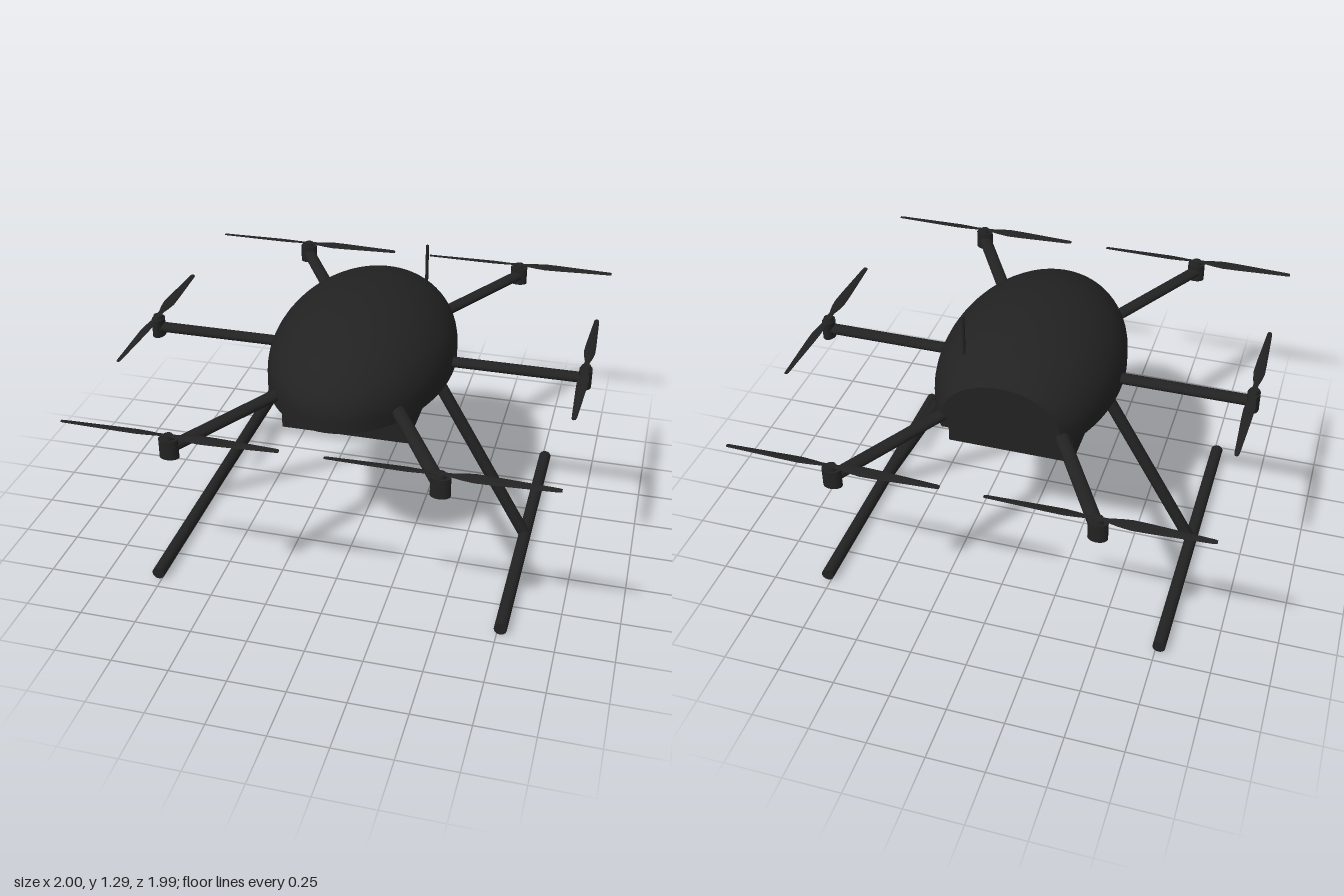
import * as THREE from 'three';
import { toCreasedNormals } from 'three/addons/utils/BufferGeometryUtils.js';

const material = new THREE.MeshStandardMaterial({ color: 0x222222 });

function add(parent, name, geometry, x = 0, y = 0, z = 0) {
  const mesh = new THREE.Mesh(geometry, material);
  mesh.name = name;
  mesh.position.set(x, y, z);
  parent.add(mesh);
  return mesh;
}

// Skin counter-clockwise [x, y] rings running from +z to -z, closed by a cap at each end
function loft(rings, crease) {
  const n = rings[0].length;
  const pos = rings.flat(2);
  const index = [];
  for (let i = 0; i < rings.length - 1; i++) {
    for (let j = 0; j < n; j++) {
      const k = (j + 1) % n;
      const a = i * n + j, b = i * n + k, c = a + n, d = b + n;
      index.push(a, c, b, b, c, d);
    }
  }
  const last = (rings.length - 1) * n;
  for (let j = 1; j < n - 1; j++) {
    index.push(0, j, j + 1, last, last + j + 1, last + j);
  }
  const geo = new THREE.BufferGeometry();
  geo.setAttribute('position', new THREE.Float32BufferAttribute(pos, 3));
  geo.setIndex(index);
  return toCreasedNormals(geo, crease);
}

// Half-ellipsoid shell with a short straight skirt, cut flat at the back
function shellGeometry() {
  const rings = [];
  const end = Math.acos(-0.48 / 0.63);
  for (let i = 0; i <= 40; i++) {
    const t = 0.02 + (end - 0.02) * i / 40;
    const z = 0.63 * Math.cos(t), s = Math.sin(t);
    const ring = [];
    for (let j = 0; j <= 32; j++) {
      const a = Math.PI * j / 32;
      ring.push([0.4 * s * Math.cos(a), 0.89 + 0.3 * s * Math.sin(a), z]);
    }
    ring.push([-0.4 * s, 0.836, z], [0.4 * s, 0.836, z]);
    rings.push(ring);
  }
  return loft(rings, 0.7);
}

// Two-bladed propeller along z, each blade pitched the opposite way
function propellerGeometry() {
  const half = [[0.45, 0.008], [0.44, 0.011], [0.3, 0.018], [0.2, 0.023],
    [0.13, 0.025], [0.08, 0.019], [0.04, 0.011]];
  const stations = [...half, [0, 0.013], ...half.map(([z, w]) => [-z, w]).reverse()];
  const rings = stations.map(([z, w]) => {
    const pitch = 0.2 * Math.sign(z);
    const ring = [];
    for (let j = 0; j < 10; j++) {
      const a = Math.PI * 2 * j / 10;
      const x = w * Math.cos(a), y = 0.004 * Math.sin(a);
      ring.push([x * Math.cos(pitch) - y * Math.sin(pitch), x * Math.sin(pitch) + y * Math.cos(pitch), z]);
    }
    return ring;
  });
  return loft(rings, 0.9);
}

// Round tube between two points
function rod(parent, name, from, to, radius) {
  const a = new THREE.Vector3(...from), b = new THREE.Vector3(...to);
  const dir = b.clone().sub(a);
  const mesh = add(parent, name, new THREE.CylinderGeometry(radius, radius, dir.length(), 24));
  mesh.position.copy(a).add(b).multiplyScalar(0.5);
  mesh.quaternion.setFromUnitVectors(new THREE.Vector3(0, 1, 0), dir.normalize());
  return mesh;
}

export function createModel() {
  const model = new THREE.Group();
  model.name = 'hexacopter';

  // Body
  add(model, 'bodyShell', shellGeometry());
  add(model, 'batteryBox', new THREE.BoxGeometry(0.555, 0.172, 0.7), 0, 0.746, 0);
  rod(model, 'antenna', [0.21, 1.05, -0.305], [0.21, 1.287, -0.305], 0.007);

  // Six rotor units: arm, motor and propeller
  const propeller = propellerGeometry();
  const motor = new THREE.CylinderGeometry(1, 1, 0.083, 32).scale(0.028, 1, 0.04);
  const hub = new THREE.CylinderGeometry(0.02, 0.024, 0.018, 24);
  const rotors = [
    ['left', 0.972, 0], ['right', -0.972, 0],
    ['frontLeft', 0.54, 0.965], ['frontRight', -0.54, 0.965],
    ['backLeft', 0.54, -0.965], ['backRight', -0.54, -0.965],
  ];
  for (const [side, x, z] of rotors) {
    const length = Math.hypot(x, z) - 0.2;
    const armGeo = new THREE.CylinderGeometry(1, 1, length, 24)
      .rotateZ(Math.PI / 2).translate(0.2 + length / 2, 0, 0).scale(1, 0.021, 0.03);
    add(model, side + 'Arm', armGeo, 0, 0.886, 0).rotation.y = Math.atan2(-z, x);

    const unit = new THREE.Group();
    unit.name = side + 'Rotor';
    unit.position.set(x, 0, z);
    unit.rotation.y = z === 0 ? 0 : Math.PI / 2;
    add(unit, 'motor', motor, 0, 0.887, 0);
    add(unit, 'hub', hub, 0, 0.936, 0);
    add(unit, 'propeller', propeller, 0, 0.941, 0);
    model.add(unit);
  }

  // Landing gear: one slanted strut and one skid on each side
  for (const s of [1, -1]) {
    const side = s > 0 ? 'left' : 'right';
    rod(model, side + 'Strut', [s * 0.28, 0.875, 0], [s * 0.765, 0.028, 0], 0.027);
    rod(model, side + 'Skid', [s * 0.765, 0.028, -0.695], [s * 0.765, 0.028, 0.695], 0.028);
  }
  return model;
}
